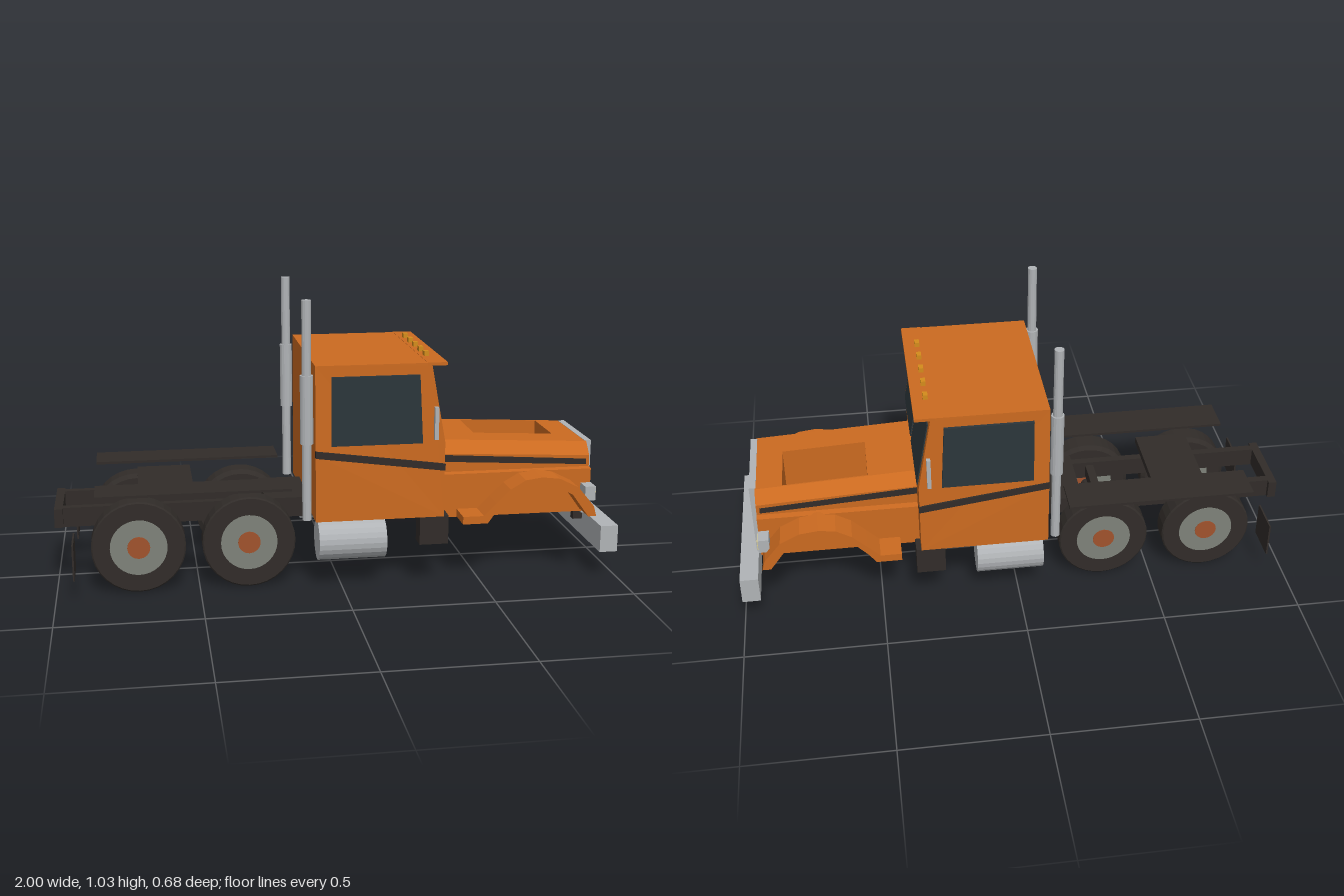
import * as THREE from 'three';

const mat = (color) => new THREE.MeshStandardMaterial({ color, flatShading: true });
const ORANGE = mat(0xcb6a20), DARK = mat(0x312c29), CHROME = mat(0xb0b3b6), GLASS = mat(0x2c363b),
  RIM = mat(0x7e8279), HUB = mat(0xa0522d), LAMP = mat(0xe0d28a), AMBER = mat(0xd48c1c);

export function createModel() {
  const model = new THREE.Group();
  model.name = 'truck';

  const add = (name, geometry, material) => {
    const mesh = new THREE.Mesh(geometry, material);
    mesh.name = name;
    model.add(mesh);
    return mesh;
  };
  // Box given by its limits on each axis
  const box = (name, material, [x0, x1], [y0, y1], [z0, z1]) =>
    add(name, new THREE.BoxGeometry(x1 - x0, y1 - y0, z1 - z0), material)
      .position.set((x0 + x1) / 2, (y0 + y1) / 2, (z0 + z1) / 2);
  // The same box on both sides
  const pair = (name, material, x, y, [z0, z1]) => {
    box(name + 'Left', material, x, y, [z0, z1]);
    box(name + 'Right', material, x, y, [-z1, -z0]);
  };
  // Side outline (x, y) extruded across z
  const sideGeometry = (points, z0, z1) =>
    new THREE.ExtrudeGeometry(new THREE.Shape(points.map((p) => new THREE.Vector2(...p))),
      { depth: z1 - z0, bevelEnabled: false }).translate(0, 0, z0);
  const sidePair = (name, material, points, z0, z1) => {
    add(name + 'Left', sideGeometry(points, z0, z1), material);
    add(name + 'Right', sideGeometry(points, -z1, -z0), material);
  };
  const cylinder = (name, material, radius, length, axis, x, y, z, sides = 24) => {
    const geometry = new THREE.CylinderGeometry(radius, radius, length, sides);
    if (axis === 'x') geometry.rotateZ(Math.PI / 2);
    if (axis === 'z') geometry.rotateX(Math.PI / 2);
    add(name, geometry, material).position.set(x, y, z);
  };

  // Chassis
  pair('frameRail', DARK, [-0.98, 0.92], [0.222, 0.292], [0.088, 0.117]);
  box('rearCrossmember', DARK, [-1, -0.97], [0.225, 0.292], [-0.133, 0.133]);
  box('middleCrossmember', DARK, [-0.34, -0.31], [0.235, 0.28], [-0.1, 0.1]);
  box('deckPlate', DARK, [-0.257, -0.09], [0.28, 0.298], [-0.133, 0.133]);
  box('couplingPlate', DARK, [-0.705, -0.512], [0.337, 0.362], [-0.133, 0.133]);
  box('couplingBase', DARK, [-0.65, -0.57], [0.28, 0.337], [-0.09, 0.09]);
  pair('rearFender', DARK, [-0.855, -0.18], [0.37, 0.379], [0.155, 0.294]);
  pair('mudFlap', DARK, [-0.938, -0.932], [0.082, 0.212], [0.16, 0.294]);

  // Rear wheels
  const tyreProfile = [[0.02, -0.0425], [0.15, -0.0425], [0.165, -0.03], [0.165, 0.038], [0.16, 0.0425], [0.02, 0.0425]]
    .map((p) => new THREE.Vector2(...p));
  for (const x of [-0.711, -0.324]) {
    cylinder('axle', DARK, 0.02, 0.3, 'z', x, 0.165, 0, 12);
    for (const side of [1, -1]) {
      const tyre = add('tyre', new THREE.LatheGeometry(tyreProfile, 32).rotateX(side * Math.PI / 2), DARK);
      tyre.position.set(x, 0.167, side * 0.1775);
      cylinder('rim', RIM, 0.1, 0.089, 'z', x, 0.167, side * 0.1775, 32);
      cylinder('hub', HUB, 0.04, 0.094, 'z', x, 0.167, side * 0.1775, 16);
    }
  }

  // Cab, narrowing slightly towards the roof
  const cab = sideGeometry([[-0.1, 0.26], [0.355, 0.26], [0.355, 0.53], [0.306, 0.802], [0.306, 0.811],
    [-0.1, 0.811], [-0.1, 0.5]], -0.316, 0.316);
  const cabPos = cab.attributes.position;
  for (let i = 0; i < cabPos.count; i++) {
    const t = Math.max(0, (cabPos.getY(i) - 0.5) / 0.31);
    cabPos.setZ(i, cabPos.getZ(i) * (1 - 0.025 * t));
  }
  cab.computeVertexNormals();
  add('cab', cab, ORANGE);
  box('sunVisor', ORANGE, [0.29, 0.36], [0.801, 0.812], [-0.309, 0.309]);
  for (const z of [-0.178, -0.089, 0, 0.089, 0.178])
    box('roofLight', AMBER, [0.303, 0.32], [0.81, 0.829], [z - 0.013, z + 0.013]);

  // Windows, mirrors and stripes
  sidePair('sideWindow', GLASS, [[-0.045, 0.53], [0.275, 0.53], [0.262, 0.772], [-0.045, 0.772]], 0.3, 0.319);
  sidePair('windshield', GLASS, [[0.345, 0.528], [0.36, 0.528], [0.316, 0.77], [0.301, 0.77]], 0.014, 0.284);
  pair('mirror', CHROME, [0.312, 0.326], [0.545, 0.66], [0.322, 0.339]);
  pair('mirrorArm', CHROME, [0.315, 0.323], [0.59, 0.61], [0.3, 0.325]);
  sidePair('cabStripe', DARK, [[-0.1, 0.49], [0.357, 0.428], [0.357, 0.453], [-0.1, 0.515]], 0.3, 0.32);
  sidePair('hoodStripe', DARK, [[0.355, 0.428], [0.91, 0.396], [0.91, 0.416], [0.355, 0.453]], 0.19, 0.202);

  // Hood: cross-sections (z, y) extruded along x, the top falling towards the front
  const hoodPart = (name, points, x0, x1) => {
    const shape = new THREE.Shape(points.map(([z, y]) => new THREE.Vector2(-z, y)));
    const geometry = new THREE.ExtrudeGeometry(shape, { depth: x1 - x0, bevelEnabled: false })
      .rotateY(Math.PI / 2).translate(x0, 0, 0);
    const pos = geometry.attributes.position;
    for (let i = 0; i < pos.count; i++)
      if (pos.getY(i) > 0.4) pos.setY(i, pos.getY(i) - (pos.getX(i) - 0.355) * 0.05);
    geometry.computeVertexNormals();
    add(name, geometry, ORANGE);
  };
  const shoulder = [[0.222, 0.225], [0.222, 0.385], [0.199, 0.388], [0.199, 0.457], [0.16, 0.5]];
  const mirrored = shoulder.map(([z, y]) => [-z, y]).reverse();
  hoodPart('hoodRear', [...shoulder, ...mirrored], 0.35, 0.525);
  hoodPart('hoodFront', [...shoulder, ...mirrored], 0.825, 0.922);
  hoodPart('hoodLeft', [...shoulder, [0.053, 0.5], [0.053, 0.225]], 0.525, 0.825);
  hoodPart('hoodRight', [[-0.155, 0.225], [-0.155, 0.5], ...mirrored], 0.525, 0.825);
  box('hoodFloor', ORANGE, [0.525, 0.825], [0.225, 0.31], [-0.155, 0.053]);
  box('engineBayFloor', DARK, [0.525, 0.825], [0.31, 0.325], [-0.155, 0.053]);

  // Front fenders with an open wheel arch
  sidePair('frontFender', ORANGE, [[0.425, 0.227], [0.515, 0.227], [0.54, 0.262], [0.585, 0.31], [0.645, 0.348],
    [0.71, 0.36], [0.77, 0.35], [0.825, 0.318], [0.885, 0.235], [0.915, 0.235], [0.905, 0.272], [0.845, 0.345],
    [0.775, 0.38], [0.71, 0.388], [0.65, 0.38], [0.595, 0.348], [0.545, 0.3], [0.5, 0.255], [0.425, 0.255]], 0.21, 0.319);

  // Grille, headlights and bumper
  box('grillePanel', DARK, [0.915, 0.934], [0.205, 0.455], [-0.145, 0.145]);
  pair('grilleFrameSide', CHROME, [0.918, 0.942], [0.195, 0.473], [0.135, 0.155]);
  box('grilleFrameTop', CHROME, [0.918, 0.942], [0.446, 0.473], [-0.135, 0.135]);
  box('grilleFrameBottom', CHROME, [0.918, 0.942], [0.195, 0.212], [-0.135, 0.135]);
  for (const z of [-0.081, -0.027, 0.027, 0.081])
    box('grilleBar', CHROME, [0.93, 0.941], [0.21, 0.448], [z - 0.006, z + 0.006]);
  pair('headlightHousing', CHROME, [0.885, 0.924], [0.281, 0.333], [0.22, 0.278]);
  pair('headlight', LAMP, [0.915, 0.927], [0.289, 0.325], [0.222, 0.271]);
  box('bumper', CHROME, [0.935, 1], [0.097, 0.195], [-0.319, 0.319]);
  pair('bumperBracket', DARK, [0.9, 0.94], [0.16, 0.225], [0.088, 0.117]);

  // Tanks, step boxes and exhaust stacks
  for (const z of [0.242, -0.242]) {
    cylinder('fuelTank', CHROME, 0.073, 0.24, 'x', 0.034, 0.173, z);
    const stackZ = Math.sign(z) * 0.294;
    cylinder('exhaustStack', CHROME, 0.0165, 0.77, 'y', -0.128, 0.65, stackZ, 16);
    cylinder('muffler', CHROME, 0.023, 0.24, 'y', -0.128, 0.658, stackZ, 16);
  }
  pair('stepBox', DARK, [0.27, 0.373], [0.158, 0.262], [0.25, 0.314]);

  return model;
}
